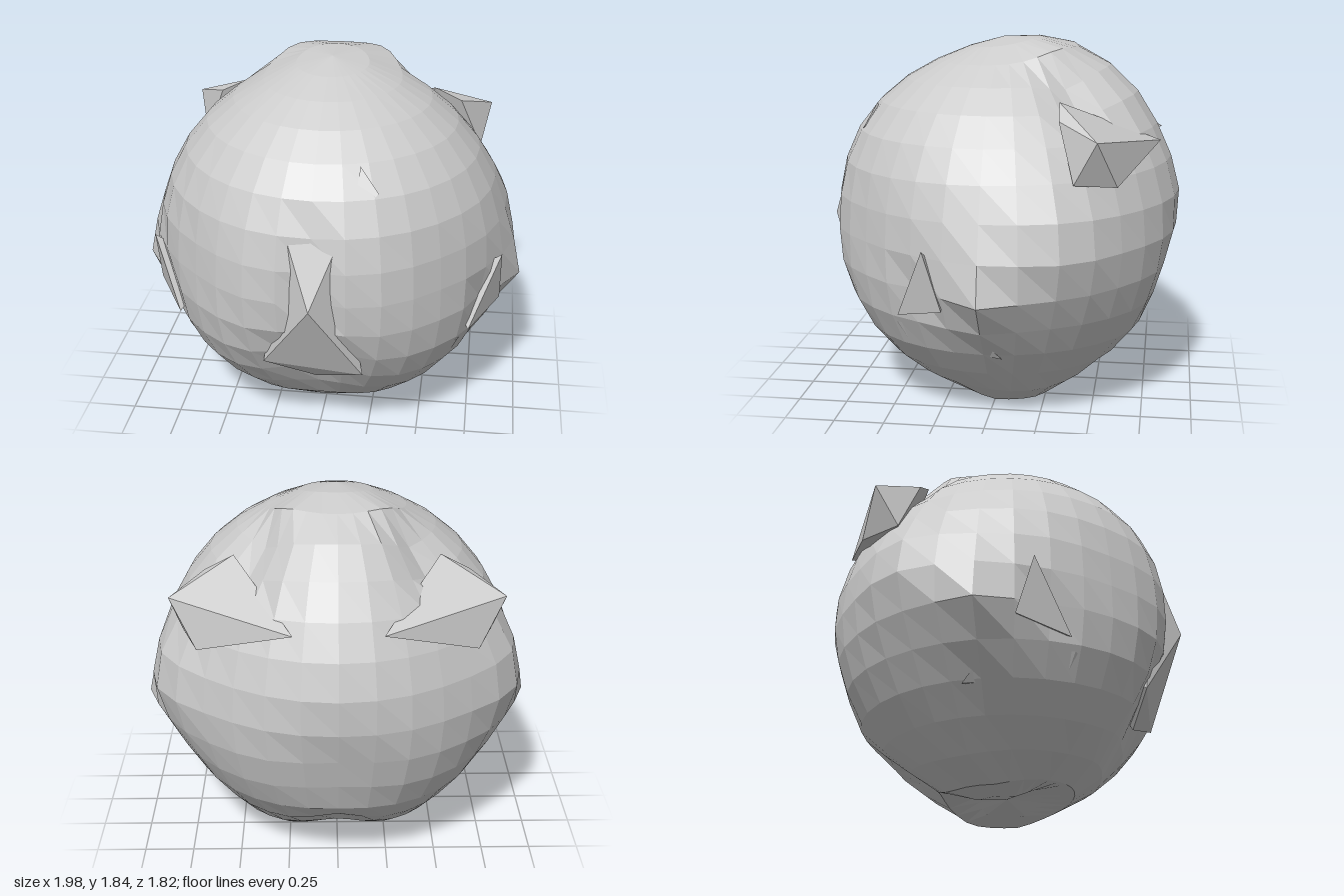
import * as THREE from 'three';
import { ConvexGeometry } from 'three/addons/geometries/ConvexGeometry.js';

const V = (x, y, z) => new THREE.Vector3(x, y, z);
const BASE_RADIUS = 0.9;
const CENTRE_Y = 0.88;

// Swellings and dents of the body: direction, height, angular width, mirrored or not
const BUMPS = [
  [V(0, 1, -0.1), 0.05, 0.3, false],        // crown
  [V(0, 0.85, -0.6), 0.08, 0.4, false],     // ridge behind the crown
  [V(0.26, 0.9, -0.32), 0.04, 0.16, true],  // shoulder of the ridge
  [V(0.45, 0.78, -0.46), -0.1, 0.15, true], // furrow beside the ridge
  [V(0, 0.2, -1), 0.03, 0.4, false],        // full upper back
  [V(1, -0.2, 0), 0.105, 0.2, true],        // side point
  [V(0.92, 0.05, -0.4), 0.08, 0.3, true],   // side swelling
  [V(0.7, 0.05, 0.7), -0.05, 0.35, true],   // flat cheek
  [V(0.88, -0.16, 0.33), -0.03, 0.14, true], // eye hollow
  [V(0.33, -0.88, -0.12), 0.07, 0.26, true], // bottom lobe
  [V(0, -1, 0.12), -0.1, 0.16, false],      // valley between the lobes
  [V(0, -0.95, -0.2), -0.1, 0.16, false],
  [V(0, -0.8, -0.6), -0.09, 0.17, false],
  [V(0, -0.25, -0.97), -0.05, 0.3, false],  // flat lower back
  [V(0, -0.65, 0.75), -0.08, 0.33, false],  // flat lower front
  [V(0, 0, 1), -0.04, 0.4, false],          // flat face
  [V(0, 0.28, 0.96), -0.05, 0.13, false],   // slot for the nose
  [V(0, 0, 1), -0.05, 0.14, false],
  [V(0, -0.4, 0.9), -0.07, 0.24, false],
].flatMap(([d, amp, w, mirror]) => {
  d.normalize();
  const list = [[d, amp, w]];
  if (mirror) list.push([V(-d.x, d.y, d.z), amp, w]);
  return list;
});

function radiusAt(dir) {
  return BUMPS.reduce((r, [d, amp, w]) => {
    const a = dir.angleTo(d) / w;
    return r + amp * Math.exp(-a * a);
  }, BASE_RADIUS);
}

export function createModel() {
  const group = new THREE.Group();
  const material = new THREE.MeshStandardMaterial({ color: 0xcccccc, flatShading: true });

  const add = (name, geometry) => {
    const mesh = new THREE.Mesh(geometry, material);
    mesh.name = name;
    group.add(mesh);
  };

  // Angular solid half buried in the body
  const shard = (name, points, side = 1) =>
    add(name, new ConvexGeometry(points.map(([x, y, z]) => V(x * side, y, z))));

  // Lumpy faceted body
  const body = new THREE.SphereGeometry(1, 32, 16);
  const pos = body.attributes.position;
  for (let i = 0; i < pos.count; i++) {
    const p = V(0, 0, 0).fromBufferAttribute(pos, i).normalize();
    p.multiplyScalar(radiusAt(p));
    pos.setXYZ(i, p.x, Math.max(0, p.y + CENTRE_Y), p.z);
  }
  body.computeVertexNormals();
  add('body', body);

  // Pointed nose
  shard('nose', [
    [0, 0.88, 0.91], [-0.25, 0.49, 0.73], [0.24, 0.44, 0.72], [0, 0.37, 0.64],
    [-0.12, 1.21, 0.79], [0.13, 1.2, 0.79], [0, 0.8, 0.4],
  ]);

  // Paired parts
  for (const [side, label] of [[1, 'left'], [-1, 'right']]) {
    shard(label + 'Ear', [
      [0.8, 1.43, -0.53], [0.21, 1.35, -0.81], [0.5, 1.57, -0.33],
      [0.64, 1.5, -0.34], [0.75, 1.22, -0.42], [0.67, 1.2, -0.62], [0.4, 1.2, -0.5],
    ], side);
    shard(label + 'Eye', [
      [0.89, 0.92, 0.27], [0.74, 0.56, 0.42], [0.89, 0.63, 0.18], [0.6, 0.7, 0.2],
    ], side);
    shard(label + 'MouthCorner', [
      [0.58, 0.46, 0.5], [0.69, 0.51, 0.43], [0.8, 0.48, 0.02],
      [0.75, 0.36, -0.09], [0.65, 0.4, 0.38], [0.5, 0.42, 0.1],
    ], side);
  }

  // Small chip on the brow
  shard('browChip', [
    [0.21, 1.51, 0.62], [0.3, 1.4, 0.67], [0.18, 1.27, 0.77], [0.2, 1.38, 0.58],
  ]);

  return group;
}
